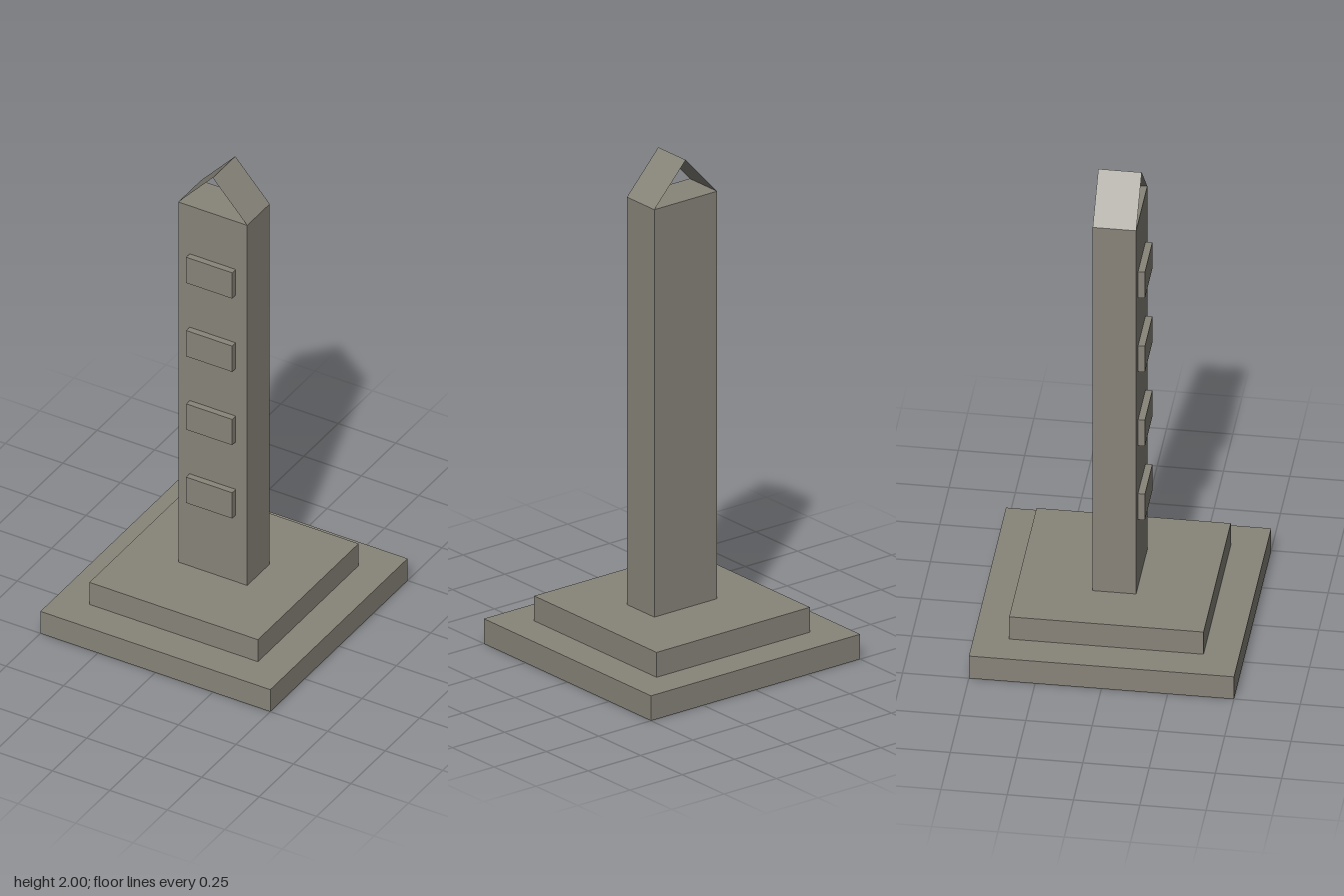
import * as THREE from 'three';

export function createModel() {
  const model = new THREE.Group();
  const stone = new THREE.MeshStandardMaterial({ color: 0x88847a });
  stone.name = 'stone';
  stone.side = THREE.DoubleSide; // the roof slopes are open sheets

  const add = (name, geometry, x, y, z) => {
    const mesh = new THREE.Mesh(geometry, stone);
    mesh.name = name;
    mesh.position.set(x, y, z);
    model.add(mesh);
    return mesh;
  };
  // Box standing on height y
  const block = (name, w, h, d, y, z = 0) =>
    add(name, new THREE.BoxGeometry(w, h, d), 0, y + h / 2, z);

  const width = 0.3, depth = 0.164, shaftTop = 1.837, ridge = 2;

  // Stepped base and shaft
  block('lowerStep', 1, 0.1, 1, 0);
  block('upperStep', 0.733, 0.1, 0.733, 0.1);
  block('shaft', width, shaftTop - 0.2, depth, 0.2);

  // Raised plaques up the front
  for (let i = 0; i < 4; i++) {
    block('plaque' + (i + 1), 0.2, 0.117, 0.026, 0.502 + i / 3, depth / 2 + 0.013);
  }

  // Two sloping roof sheets meeting at the ridge, gables left open
  const rise = ridge - shaftTop, run = width / 2;
  for (const side of [1, -1]) {
    const sheet = new THREE.PlaneGeometry(Math.hypot(rise, run), depth);
    sheet.rotateX(-Math.PI / 2);
    sheet.rotateZ(-side * Math.atan2(rise, run));
    add(side > 0 ? 'leftRoofSlope' : 'rightRoofSlope', sheet,
      side * run / 2, shaftTop + rise / 2, 0);
  }
  return model;
}
